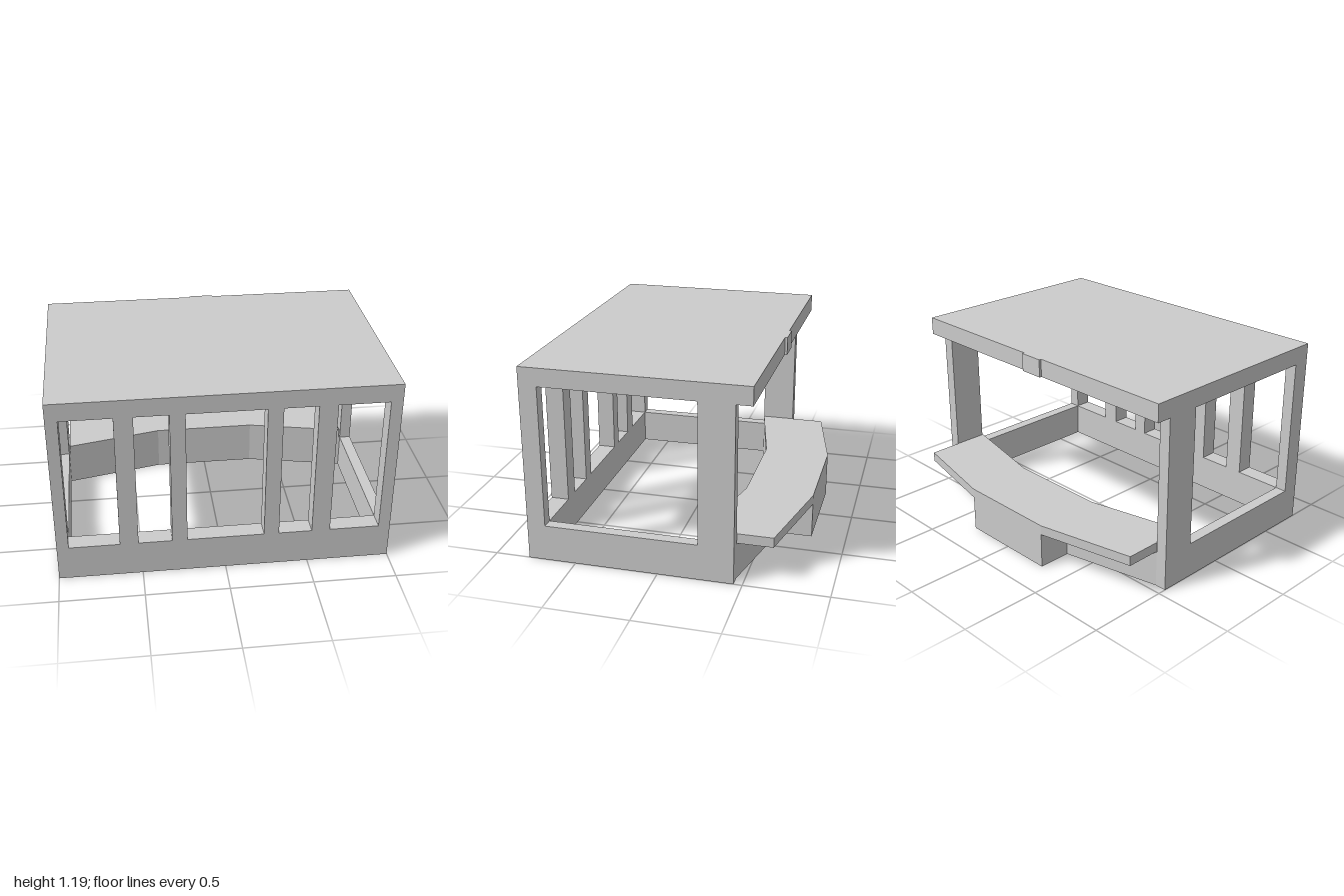
import * as THREE from 'three';

const WALL_TOP = 0.22, ROOF_BOTTOM = 1.08, ROOF_TOP = 1.19;

export function createModel() {
  const group = new THREE.Group();
  const material = new THREE.MeshStandardMaterial({ color: 0xcccccc, flatShading: true });

  const add = (name, geometry) => {
    const mesh = new THREE.Mesh(geometry, material);
    mesh.name = name;
    group.add(mesh);
  };

  // Box given by its limits on each axis
  const box = (name, x0, x1, y0, y1, z0, z1) =>
    add(name, new THREE.BoxGeometry(x1 - x0, y1 - y0, z1 - z0)
      .translate((x0 + x1) / 2, (y0 + y1) / 2, (z0 + z1) / 2));

  // Floor plan points [x, z], mirrored across x = 0
  const mirrored = (half) => [...half, ...half.map(([x, z]) => [-x, z]).reverse()]
    .map(([x, z]) => new THREE.Vector2(x, -z));

  // Floor plan raised from y0 to y1
  const plan = (name, outline, hole, y0, y1) => {
    const shape = new THREE.Shape(mirrored(outline));
    if (hole) shape.holes.push(new THREE.Path(mirrored(hole)));
    add(name, new THREE.ExtrudeGeometry(shape, { depth: y1 - y0, bevelEnabled: false })
      .rotateX(-Math.PI / 2).translate(0, y0, 0));
  };

  // Low wall ring, bowed out at the back with a projecting centre block
  const innerBack = [[0.93, -0.24], [0.32, -0.375]];
  plan('lowWall',
    [[1, 0.79], [1, -0.45], [0.93, -0.45], [0.32, -0.585], [0.32, -0.79]],
    [[0.93, 0.68], ...innerBack], 0, WALL_TOP);

  // Counter slab overhanging the bowed wall
  plan('counterTop',
    [[0.32, -0.375], [0.922, -0.24], [0.922, -0.66], [0.32, -0.79]],
    null, WALL_TOP, 0.28);

  // Posts on both sides
  for (const [side, s] of [['left', 1], ['right', -1]]) {
    const post = (name, a, b, z0, z1) =>
      box(side + name, Math.min(s * a, s * b), Math.max(s * a, s * b), WALL_TOP, ROOF_BOTTOM, z0, z1);
    post('FrontCornerPost', 0.93, 1, 0.68, 0.79);
    post('OuterWindowPost', 0.52, 0.63, 0.68, 0.79);
    post('InnerWindowPost', 0.23, 0.32, 0.68, 0.79);
    post('BackCornerPost', 0.93, 1, -0.45, -0.24);
  }

  // Flat roof with a small tab on its back edge
  box('roof', -1, 1, ROOF_BOTTOM, ROOF_TOP, -0.545, 0.79);
  box('roofTab', -0.075, 0.075, ROOF_BOTTOM, ROOF_TOP, -0.56, -0.545);

  return group;
}
